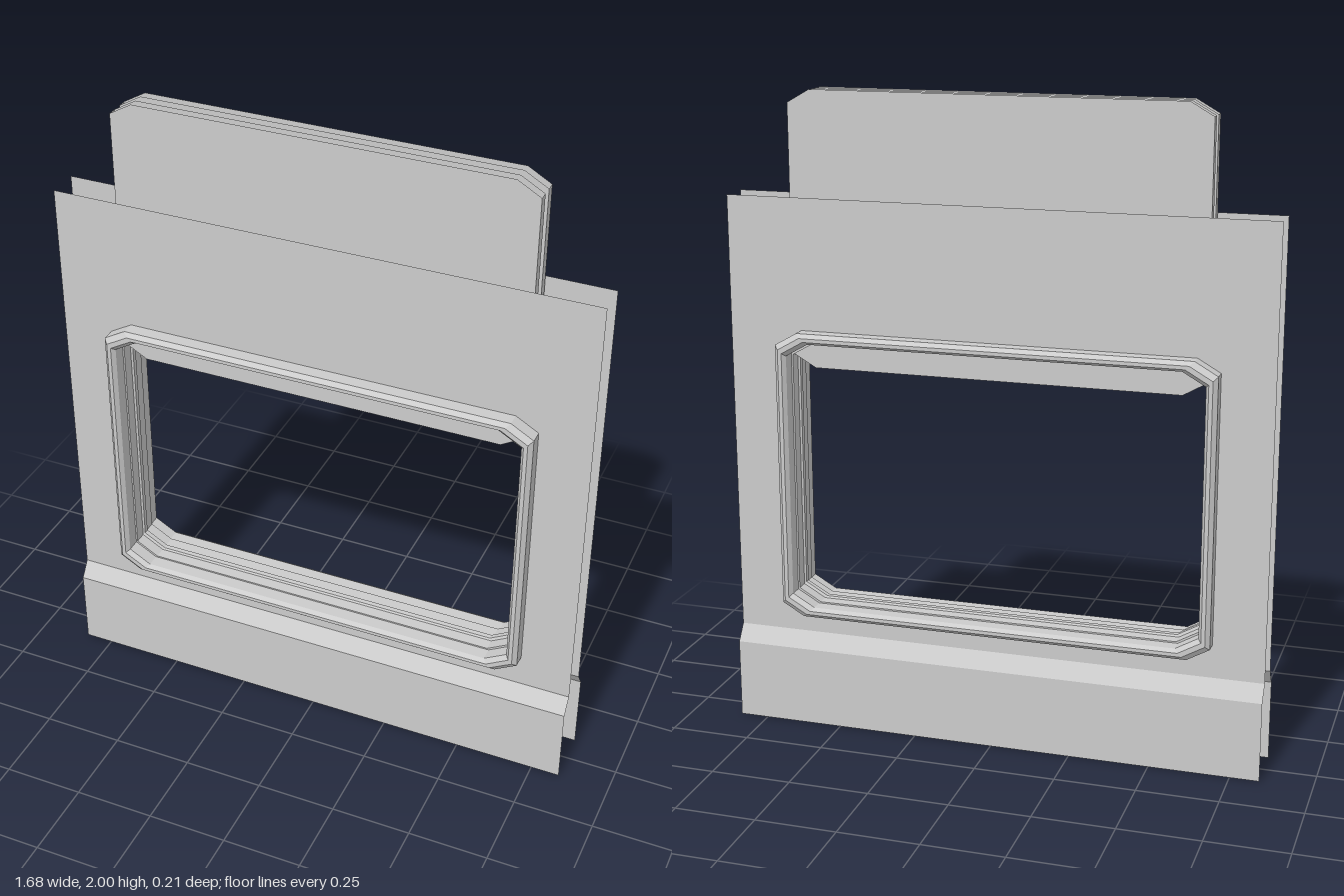
import * as THREE from 'three';

const mat = new THREE.MeshStandardMaterial({ color: 0xcccccc, flatShading: true, side: THREE.DoubleSide });
const WINDOW_Y = 0.82;

// corners of a rectangle with cut corners, counter-clockwise from the lower right
function octagon(w, h, cy, cx = 0.07, cut = 0.04) {
  return [
    [w, cy - h + cut], [w, cy + h - cut], [w - cx, cy + h], [-w + cx, cy + h],
    [-w, cy + h - cut], [-w, cy - h + cut], [-w + cx, cy - h], [w - cx, cy - h],
  ];
}

// quads between successive outlines; each section is { pts, z }
function loft(sections, keep = () => true) {
  const pos = [];
  for (let s = 0; s < sections.length - 1; s++) {
    const a = sections[s], b = sections[s + 1], n = a.pts.length;
    for (let i = 0; i < n; i++) {
      if (!keep(i)) continue;
      const j = (i + 1) % n;
      const p = [...a.pts[i], a.z], q = [...a.pts[j], a.z];
      const r = [...b.pts[j], b.z], t = [...b.pts[i], b.z];
      pos.push(...p, ...q, ...r, ...p, ...r, ...t);
    }
  }
  const g = new THREE.BufferGeometry();
  g.setAttribute('position', new THREE.Float32BufferAttribute(pos, 3));
  g.computeVertexNormals();
  return g;
}

function add(parent, name, geometry) {
  const m = new THREE.Mesh(geometry, mat);
  m.name = name;
  parent.add(m);
  return m;
}

const toShape = (pts) => new THREE.Shape(pts.map(([x, y]) => new THREE.Vector2(x, y)));

// one wall face: sheet with opening, flared skirt and raised window trim
function wallSide() {
  const side = new THREE.Group();

  const sheet = toShape([[-0.84, 0.3], [0.84, 0.3], [0.84, 1.68], [-0.84, 1.68]]);
  sheet.holes.push(toShape(octagon(0.645, 0.425, WINDOW_Y).reverse()));
  add(side, 'wallSheet', new THREE.ShapeGeometry(sheet).translate(0, 0, 0.05));

  const skirt = [[0.3, 0.05], [0.25, 0.085], [0, 0.085]];
  const pos = [];
  for (let i = 0; i < 2; i++) {
    const [y0, z0] = skirt[i], [y1, z1] = skirt[i + 1];
    pos.push(-0.84, y0, z0, -0.84, y1, z1, 0.84, y1, z1, -0.84, y0, z0, 0.84, y1, z1, 0.84, y0, z0);
  }
  const skirtGeo = new THREE.BufferGeometry();
  skirtGeo.setAttribute('position', new THREE.Float32BufferAttribute(pos, 3));
  skirtGeo.computeVertexNormals();
  add(side, 'flaredSkirt', skirtGeo);

  // trim profile: [growth of the opening, z]
  const profile = [[0.04, 0.05], [0.04, 0.092], [0.027, 0.105], [0.015, 0.105], [0.005, 0.092], [0.005, 0.05], [0, 0.05]];
  const sections = profile.map(([o, z]) => ({ pts: octagon(0.64 + o, 0.418 + o * 0.93, WINDOW_Y), z }));
  // outward winding runs from the front of the profile to the back
  add(side, 'windowTrim', loft(sections));
  return side;
}

export function createModel() {
  const model = new THREE.Group();
  model.name = 'windowPanel';

  for (const [name, turn] of [['frontWall', 0], ['backWall', Math.PI]]) {
    const wall = wallSide();
    wall.name = name;
    wall.rotation.y = turn;
    model.add(wall);
  }

  // lining of the opening, left open at the top for the sliding panes
  const opening = octagon(0.64, 0.418, WINDOW_Y);
  add(model, 'openingLining', loft(
    [{ pts: opening, z: -0.05 }, { pts: opening, z: 0.05 }],
    (i) => i === 0 || i >= 4,
  ));

  // low divider running all round between the two pane slots
  const divider = octagon(0.634, 0.412, WINDOW_Y);
  add(model, 'slotDivider', loft([
    { pts: opening, z: -0.012 }, { pts: divider, z: -0.008 },
    { pts: divider, z: 0.008 }, { pts: opening, z: 0.012 },
  ]));

  // two raised sliding panes: thin faces joined by their upright edges
  const paneOutline = octagon(0.638, 0.42, 1.58);
  for (const [name, s] of [['frontPane', 1], ['backPane', -1]]) {
    const pane = new THREE.Group();
    pane.name = name;
    for (const z of [0.015, 0.043]) {
      add(pane, 'paneFace', new THREE.ShapeGeometry(toShape(paneOutline)).translate(0, 0, s * z));
    }
    add(pane, 'paneEdges', loft(
      [{ pts: paneOutline, z: s * 0.015 }, { pts: paneOutline, z: s * 0.043 }],
      (i) => i === 0 || i === 4,
    ));
    model.add(pane);
  }
  return model;
}
